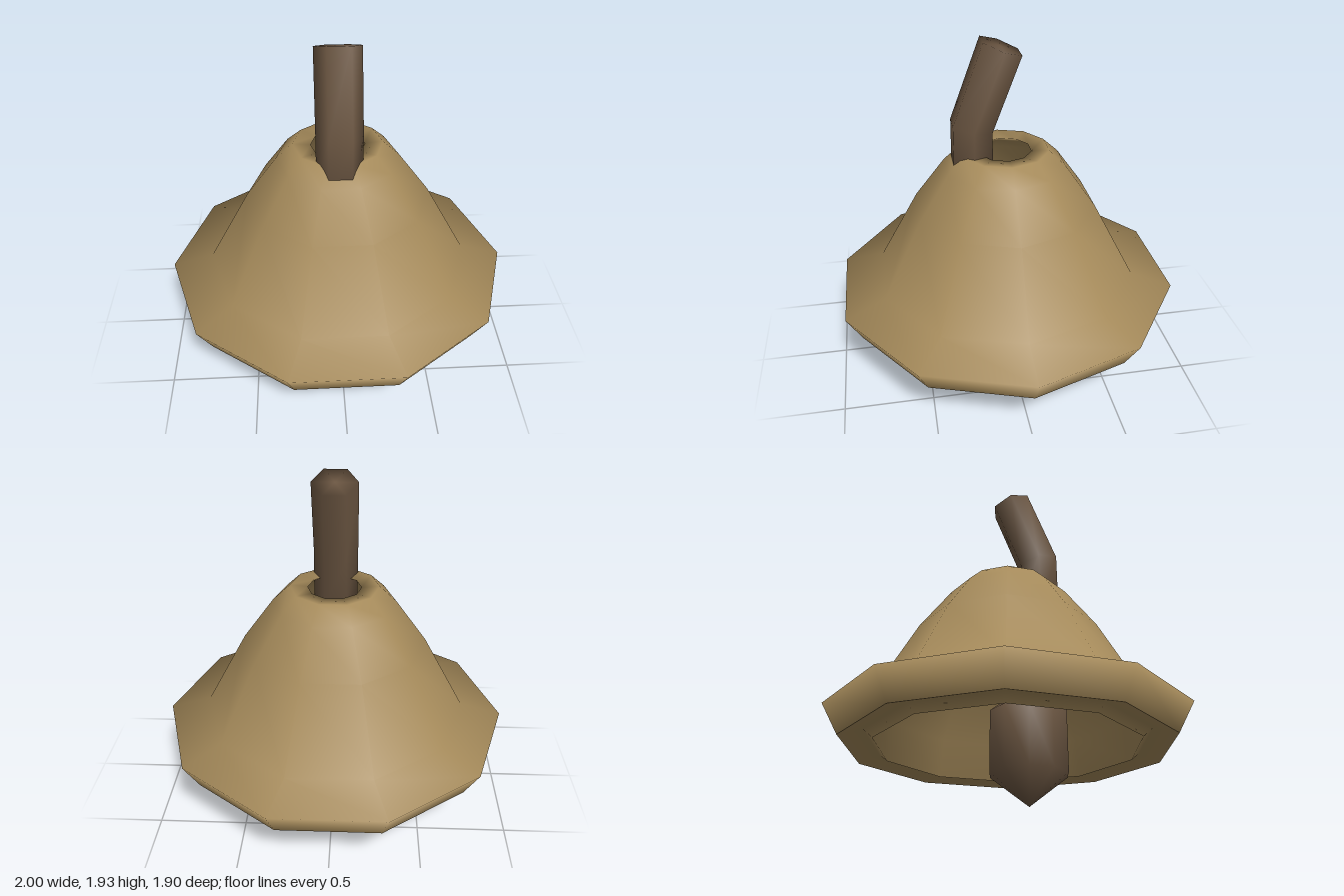
import * as THREE from 'three';
import { mergeVertices } from 'three/addons/utils/BufferGeometryUtils.js';

const brass = new THREE.MeshStandardMaterial({ color: 0xa68b5b });
brass.name = 'aged brass';
const wood = new THREE.MeshStandardMaterial({ color: 0x6a5541 });
wood.name = 'dark wood';

// Ten-sided turned geometry with a corner on the x axis
function turned(profile) {
  const points = profile.map(([r, y]) => new THREE.Vector2(r, y));
  return new THREE.LatheGeometry(points, 10, Math.PI / 2);
}

// Six-sided rod whose rings follow a bent path: centre y, centre z, tilt
function bentRod(radius, rings) {
  const geometry = new THREE.CylinderGeometry(radius, radius, 1, 6, rings.length - 1, false, Math.PI / 2);
  const position = geometry.attributes.position;
  const axis = new THREE.Vector3(1, 0, 0);
  const v = new THREE.Vector3();
  for (let i = 0; i < position.count; i++) {
    const [y, z, tilt] = rings[Math.round((position.getY(i) + 0.5) * (rings.length - 1))];
    v.set(position.getX(i), 0, position.getZ(i)).applyAxisAngle(axis, -tilt);
    position.setXYZ(i, v.x, v.y + y, v.z + z);
  }
  return geometry;
}

// Shares all corners so that shading runs smoothly over caps and tips
function smooth(geometry) {
  geometry.deleteAttribute('uv');
  geometry.deleteAttribute('normal');
  const merged = mergeVertices(geometry, 1e-4);
  merged.computeVertexNormals();
  return merged;
}

function part(name, geometry, material) {
  const mesh = new THREE.Mesh(geometry, material);
  mesh.name = name;
  return mesh;
}

export function createModel() {
  const group = new THREE.Group();
  group.name = 'handBell';

  // Hollow bell: flared rim, shoulders, top hole, thin inner wall, grooved lip
  group.add(part('bellShell', turned([
    [0.91, 0.31], [1.0, 0.47], [0.76, 0.54], [0.52, 0.98], [0.345, 1.22],
    [0.25, 1.31], [0.15, 1.3], [0.24, 1.25], [0.31, 1.18], [0.47, 0.95],
    [0.7, 0.53], [0.73, 0.31], [0.78, 0.35], [0.91, 0.31],
  ]), brass));

  // Clapper pointed at both ends, hanging slightly forward
  const clapper = part('clapper',
    smooth(turned([[0, 0], [0.219, 0.17], [0.219, 0.51], [0, 0.68]])), wood);
  clapper.position.z = 0.11;
  group.add(clapper);

  // Handle rising from the front of the hole and bending back
  group.add(part('handle', smooth(bentRod(0.126, [
    [1.15, 0.183, 0], [1.455, 0.182, 0.23], [1.89, 0.019, 0.37],
  ])), wood));

  return group;
}
